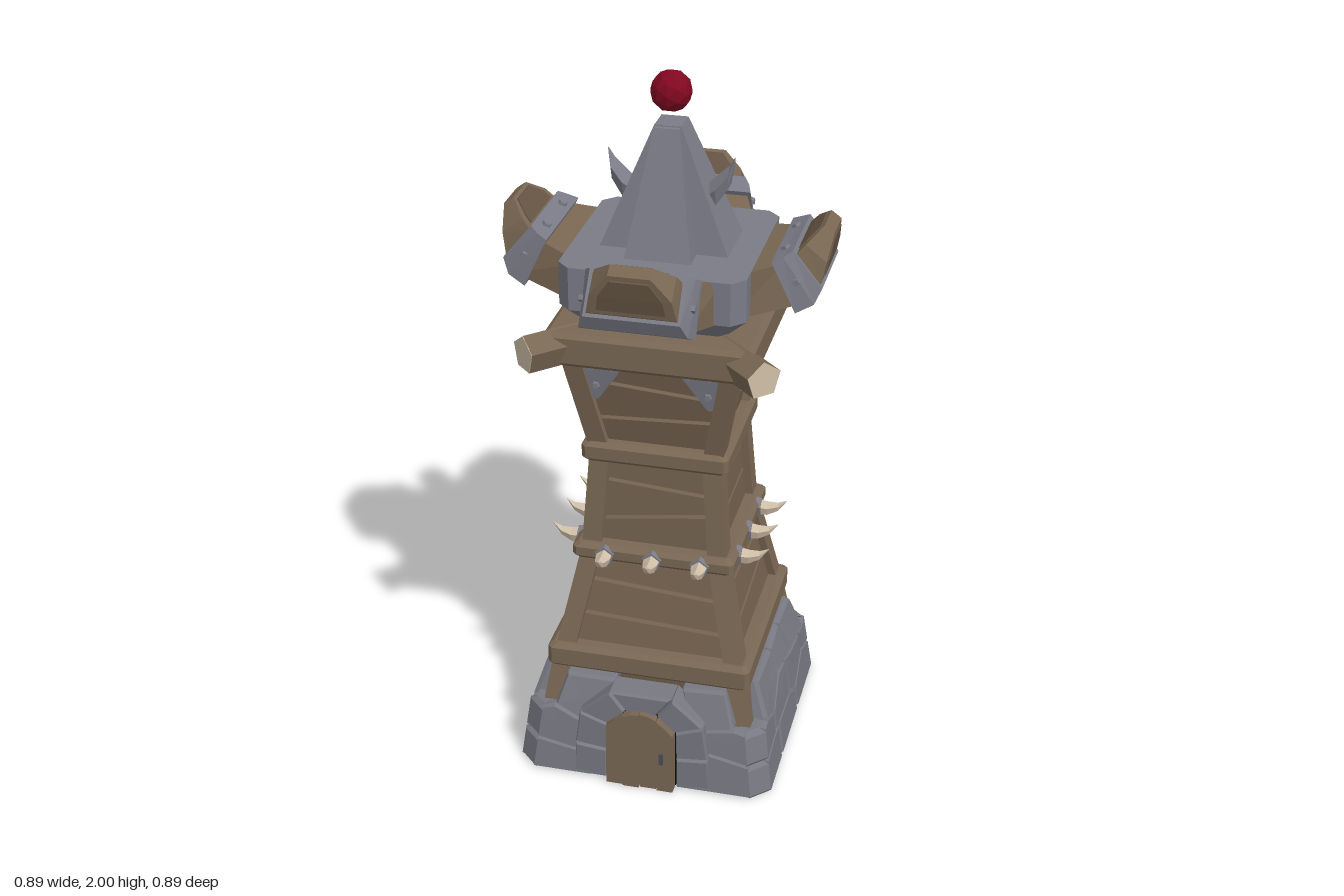
import * as THREE from 'three';
import { mergeGeometries } from 'three/addons/utils/BufferGeometryUtils.js';

const mat = (name, color) => Object.assign(new THREE.MeshStandardMaterial({ color }), { name });
const hash = (a) => { const s = Math.sin(a * 12.9898 + 4.1) * 43758.5453; return s - Math.floor(s); };

// Piecewise linear lookup in a table of [y, value]
function lookup(table, y) {
  for (let i = 1; i < table.length; i++) {
    const [a, va] = table[i - 1], [b, vb] = table[i];
    if (y <= b || i === table.length - 1) return va + ((vb - va) * (y - a)) / (b - a);
  }
}

// Flat-shaded skin through loops of points; faces are turned outward by volume
function loft(loops, caps = true) {
  const tris = [], n = loops[0].length;
  for (let i = 0; i + 1 < loops.length; i++) {
    for (let j = 0; j < n; j++) {
      const k = (j + 1) % n, a = loops[i], b = loops[i + 1];
      tris.push([a[j], a[k], b[k]], [a[j], b[k], b[j]]);
    }
  }
  if (caps) [loops[0], loops[loops.length - 1]].forEach((l, end) => {
    const c = [0, 1, 2].map((d) => l.reduce((s, p) => s + p[d], 0) / n);
    l.forEach((p, j) => tris.push(end ? [p, l[(j + 1) % n], c] : [l[(j + 1) % n], p, c]));
  });
  let vol = 0;
  const v = (p) => new THREE.Vector3(...p);
  tris.forEach(([a, b, c]) => { vol += v(a).dot(v(b).cross(v(c))); });
  const pos = tris.flatMap((t) => (vol < 0 ? [t[0], t[2], t[1]] : t).flat());
  const g = new THREE.BufferGeometry();
  g.setAttribute('position', new THREE.Float32BufferAttribute(pos, 3));
  g.computeVertexNormals();
  return g;
}
function flat(g) {
  const f = g.index ? g.toNonIndexed() : g;
  f.deleteAttribute('uv');
  f.computeVertexNormals();
  return f;
}
const ring = (r, y, c = 0) => [[r - c, r], [r, r - c], [r, c - r], [r - c, -r], [c - r, -r], [-r, c - r], [-r, r - c], [c - r, r]].map(([x, z]) => [x, y, z]);
const rect = (x0, x1, z0, z1, y) => [[x0, y, z0], [x1, y, z0], [x1, y, z1], [x0, y, z1]];
const fourSides = (geos, turn = 0) => [0, 1, 2, 3].flatMap((k) => geos.map((g) => g.clone().rotateY(turn + (k * Math.PI) / 2)));

// Bevelled plate: outline points (u, y) shrink to the middle and are placed by put(u, y, depth)
function plate(poly, put, d0, d1, gap, bevel) {
  const cu = poly.reduce((s, p) => s + p[0], 0) / poly.length, cy = poly.reduce((s, p) => s + p[1], 0) / poly.length;
  const at = (s, d) => poly.map(([u, y]) => put(Math.abs(u) === 1 ? u : u + (cu - u) * s, y + (cy - y) * s, d));
  return loft([at(gap, d0), at(gap, d1 - 0.012), at(gap + bevel, d1)]);
}
// Curved pentagonal horn along [y, z] points
const horn = (path, radii, x = 0) => loft(path.map(([y, z], i) => Array.from({ length: 5 }, (_, j) => {
  const a = (j / 5) * Math.PI * 2;
  return [x + radii[i] * Math.sin(a), y + radii[i] * Math.cos(a), z];
})));

export function createModel() {
  const group = new THREE.Group();
  const M = {
    wood: mat('wood', 0x796753), plank: mat('plank wood', 0x73614e), dark: mat('shaded wood', 0x665544),
    stone: mat('stone', 0x777881), iron: mat('iron', 0x7a7b86), handle: mat('handle iron', 0x4c4c55),
    bone: mat('bone', 0xd0bfa8), red: mat('red gem', 0x800820), black: mat('doorway black', 0x0b0b0c),
  };
  const add = (name, geos, material) => {
    const mesh = new THREE.Mesh(mergeGeometries(geos.map(flat)), material);
    mesh.name = name;
    group.add(mesh);
  };

  // Stone foundation: irregular courses between chamfered corner stones
  const baseTable = [[0, 0.362], [0.2, 0.336], [0.3, 0.3]], chamfer = 0.05;
  const baseAt = (y) => lookup(baseTable, y);
  const putStone = (u, y, d) => [u * (baseAt(y) + 0.008 - chamfer), y, baseAt(y) + d];
  const stones = [];
  for (let side = 0; side < 4; side++) {
    const rows = [[-1, -0.42, 0.36, 1], [-1, -0.66, 0.02, 0.62, 1], [-0.9, -0.28, 0.34, 0.9]]
      .map((r, i) => r.map((u, j) => (j === 0 || j === r.length - 1 ? u : u + (hash(side * 31 + i * 7 + j) - 0.5) * 0.2)));
    const height = (b, u) => [0, 0.1, 0.2, 0.3][b] + (b === 0 || Math.abs(u) === 1 ? 0 : (hash(side * 17 + b * 5 + u * 3) - 0.5) * (b === 3 ? 0.02 : 0.06));
    rows.forEach((joints, r) => {
      for (let j = 0; j + 1 < joints.length; j++) {
        const a = joints[j], b = joints[j + 1];
        const edge = (other, level) => [a, ...(other || []).filter((u) => u > a + 0.02 && u < b - 0.02), b].map((u) => [u, height(level, u)]);
        if (side === 0 && Math.abs(a + b) / 2 < 0.45) continue;
        const poly = [...edge(rows[r - 1], r), ...edge(rows[r + 1], r + 1).reverse()];
        stones.push(plate(poly, putStone, r === 2 ? -0.09 : -0.02, 0.008, 0.025, 0.08).rotateY((side * Math.PI) / 2));
      }
    });
  }
  const cornerLoop = (y, s) => {
    const r = baseAt(y) + 0.008 - s, c = chamfer;
    return [[r - c, y, r], [r, y, r - c], [r - c - 0.03, y, r - c - 0.03]];
  };
  const cornerStone = (y0, y1) => loft([cornerLoop(y0, 0.006), cornerLoop(y0 + 0.01, 0), cornerLoop(y1 - 0.012, 0), cornerLoop(y1, 0.01)]);
  add('foundationStones', stones, M.stone);
  add('cornerStones', fourSides([cornerStone(0, 0.1), cornerStone(0.1, 0.2)]), M.stone);

  // Thin backing wall, open behind the door, with a ledge on top
  const backing = (a, b, side) => plate([[a, 0.005], [b, 0.005], [b, 0.195], [a, 0.195]], putStone, -0.03, -0.008, 0, 0).rotateY((side * Math.PI) / 2);
  const ledge = [[0.24, 0.183], [0.325, 0.183], [0.325, 0.197], [0.24, 0.197], [0.24, 0.183]].map(([r, y]) => ring(r, y, 0.04));
  add('foundationCore', [...[1, 2, 3].map((s) => backing(-1, 1, s)), backing(-1, -0.4, 0), backing(0.4, 1, 0), loft(ledge, false)], M.stone);

  // Doorway: stone arch, dark backing, boards and handle
  const half = [[0.1, 0.2, 0, 0], [0.1, 0.195, 0.1, 0.11], [0.098, 0.18, 0.19, 0.22], [0.045, 0.09, 0.24, 0.3]];
  const arch = [...half, ...half.map(([a, b, c, d]) => [-a, -b, c, d]).reverse()];
  const putFlat = (x, y, d) => [x, y, d];
  add('doorArch', arch.slice(1).map((q, i) => {
    const p = arch[i];
    return plate([[p[0], p[2]], [p[1], p[3]], [q[1], q[3]], [q[0], q[2]]], putFlat, 0.285, 0.368, 0.02, 0.1);
  }), M.stone);
  const top = (x) => 0.252 - 6 * x * x;
  const board = (a, b, y, z0, z1) => loft([z0, z1].map((z) => [[a, y, z], [b, y, z], [b, top(b), z], [(a + b) / 2, top((a + b) / 2), z], [a, top(a), z]]));
  add('doorBacking', [board(-0.1, 0, 0.004, 0.35, 0.359), board(0, 0.1, 0.004, 0.35, 0.359)], M.black);
  add('doorBoards', [0, 1, 2, 3].map((i) => board(-0.098 + i * 0.0495, -0.051 + i * 0.0495, 0, 0.36, 0.385 + (i % 2) * 0.005)), M.wood);
  add('doorHandle', [new THREE.BoxGeometry(0.012, 0.035, 0.012).translate(0.065, 0.115, 0.392)], M.handle);

  // Waisted wooden tower: core, planks and corner posts
  const tower = [[0.18, 0.305], [0.34, 0.277], [0.67, 0.207], [0.97, 0.185], [1.3, 0.25]];
  const prof = (y) => lookup(tower, y);
  add('towerCore', [loft(tower.map(([y, r]) => ring(r - 0.05, y, 0.01)))], M.dark);
  const putPlank = (u, y, d) => [u * (prof(y) - 0.045), y, prof(y) - 0.03 + d];
  const planks = [];
  for (let side = 0; side < 4; side++) {
    [[0.36, 0.655], [0.685, 0.955], [0.985, 1.28]].forEach(([y0, y1], tier) => {
      const tilt = (i) => (i % 3 === 0 ? 0 : (hash(side * 3 + tier * 11 + i * 5) - 0.5) * 0.07);
      for (let i = 0; i < 3; i++) {
        const lo = y0 + ((y1 - y0) * i) / 3, hi = y0 + ((y1 - y0) * (i + 1)) / 3;
        const poly = [[-1, lo - tilt(i)], [1, lo + tilt(i)], [1, hi + tilt(i + 1)], [-1, hi - tilt(i + 1)]];
        planks.push(plate(poly, putPlank, -0.03, 0.008, 0.06, 0.06).rotateY((side * Math.PI) / 2));
      }
    });
  }
  add('wallPlanks', planks, M.plank);
  add('cornerPosts', fourSides([loft(tower.map(([y, r]) => rect(r - 0.055, r, r - 0.055, r, y)))]), M.wood);

  // Horizontal bands with bevelled edges
  const band = (y, h, r) => loft([ring(r - 0.012, y - h / 2, 0.012), ring(r, y - h / 2 + 0.012, 0.012), ring(r, y + h / 2 - 0.012, 0.012), ring(r - 0.015, y + h / 2, 0.012)]);
  add('woodenBands', [band(0.345, 0.075, 0.292), band(0.665, 0.05, 0.23), band(0.97, 0.06, 0.205), band(1.31, 0.095, 0.282)], M.wood);

  // Bone spikes with iron collars around the belt
  const spikeX = [-0.135, 0, 0.135];
  add('beltSpikes', fourSides(spikeX.map((x) => horn([[0.662, 0.22], [0.66, 0.255], [0.668, 0.285], [0.69, 0.31]], [0.025, 0.021, 0.013, 0.001], x))), M.bone);
  add('spikeCollars', fourSides(spikeX.map((x) => horn([[0.662, 0.22], [0.662, 0.236]], [0.031, 0.028], x))), M.iron);

  // Riveted triangular corner plates under the top band
  const putWall = (x, y, d) => [x, y, prof(y) - 0.03 + d];
  const brackets = [], rivets = [];
  for (const s of [-1, 1]) {
    brackets.push(plate([[s * 0.19, 1.275], [s * 0.06, 1.275], [s * 0.15, 1.14], [s * 0.165, 1.14]], putWall, -0.01, 0.022, 0, 0.04));
    for (const [x, y] of [[0.16, 1.25], [0.105, 1.25], [0.153, 1.19]]) {
      rivets.push(new THREE.CylinderGeometry(0.009, 0.012, 0.014, 5).rotateX(Math.PI / 2).translate(...putWall(s * x, y, 0.024)));
    }
  }
  add('cornerBrackets', fourSides(brackets), M.iron);
  add('bracketRivets', fourSides(rivets), M.iron);

  // Diagonal logs with a flat top side and pale cut ends
  const log = (r, from, to) => new THREE.CylinderGeometry(r, r, to - from, 5).rotateY(Math.PI).rotateX(Math.PI / 2).translate(0, 1.308, (from + to) / 2);
  add('cornerLogs', fourSides([log(0.053, 0.25, 0.452)], Math.PI / 4), M.wood);
  add('logEnds', fourSides([log(0.0525, 0.45, 0.4535)], Math.PI / 4), M.bone);

  // Iron roof block
  add('roofBlock', [loft([ring(0.18, 1.34, 0.02), ring(0.25, 1.415, 0.035), ring(0.25, 1.535, 0.035)])], M.iron);

  // Flared battlements: sections of [top z, top y, bottom z, bottom y, half width]
  const flare = (sections, grow = 0) => loft(sections.map(([tz, ty, bz, by, w]) => {
    const l = Math.hypot(bz - tz, by - ty), dz = ((bz - tz) / l) * grow, dy = ((by - ty) / l) * grow;
    return [[-w, ty - dy, tz - dz], [w, ty - dy, tz - dz], [w, by + dy, bz + dz], [-w, by + dy, bz + dz]];
  }));
  add('battlements', fourSides([flare([[0.2, 1.522, 0.2, 1.4, 0.185], [0.33, 1.555, 0.395, 1.45, 0.132], [0.355, 1.572, 0.425, 1.5, 0.118], [0.38, 1.6, 0.436, 1.555, 0.106], [0.418, 1.635, 0.445, 1.615, 0.055]])]), M.wood);
  add('battlementPanels', fourSides([flare([[0.362, 1.58, 0.428, 1.515, 0.09], [0.38, 1.6, 0.436, 1.555, 0.083], [0.41, 1.628, 0.443, 1.602, 0.05]], 0.004)]), M.dark);
  add('battlementBands', fourSides([flare([[0.3, 1.562, 0.365, 1.425, 0.152], [0.328, 1.575, 0.412, 1.45, 0.142], [0.35, 1.588, 0.43, 1.49, 0.126]])]), M.iron);
  const bolts = [-0.075, 0.075].map((x) => new THREE.CylinderGeometry(0.012, 0.015, 0.014, 5).rotateX(-0.45).translate(x, 1.574, 0.322));
  for (const s of [-1, 1]) bolts.push(new THREE.CylinderGeometry(0.01, 0.013, 0.014, 5).rotateZ(-s * Math.PI / 2).translate(s * 0.144, 1.51, 0.365));
  add('battlementBolts', fourSides(bolts), M.iron);

  // Spire with a front buttress and two side horns
  add('spire', [
    loft([rect(-0.175, 0.175, -0.098, 0.09, 1.53), rect(-0.036, 0.036, -0.04, 0.04, 1.865)]),
    loft([rect(-0.09, 0.09, 0, 0.16, 1.53), rect(-0.034, 0.034, 0, 0.055, 1.862)]),
  ], M.iron);
  const spireHorn = horn([[1.655, 0.08], [1.685, 0.125], [1.725, 0.157], [1.775, 0.17]], [0.03, 0.042, 0.032, 0.004]);
  add('spireHorns', [1, -1].map((s) => spireHorn.clone().rotateY((s * Math.PI) / 2)), M.iron);

  // Floating gem
  add('gem', [new THREE.IcosahedronGeometry(0.056, 1).translate(0, 1.946, 0)], M.red);
  return group;
}
